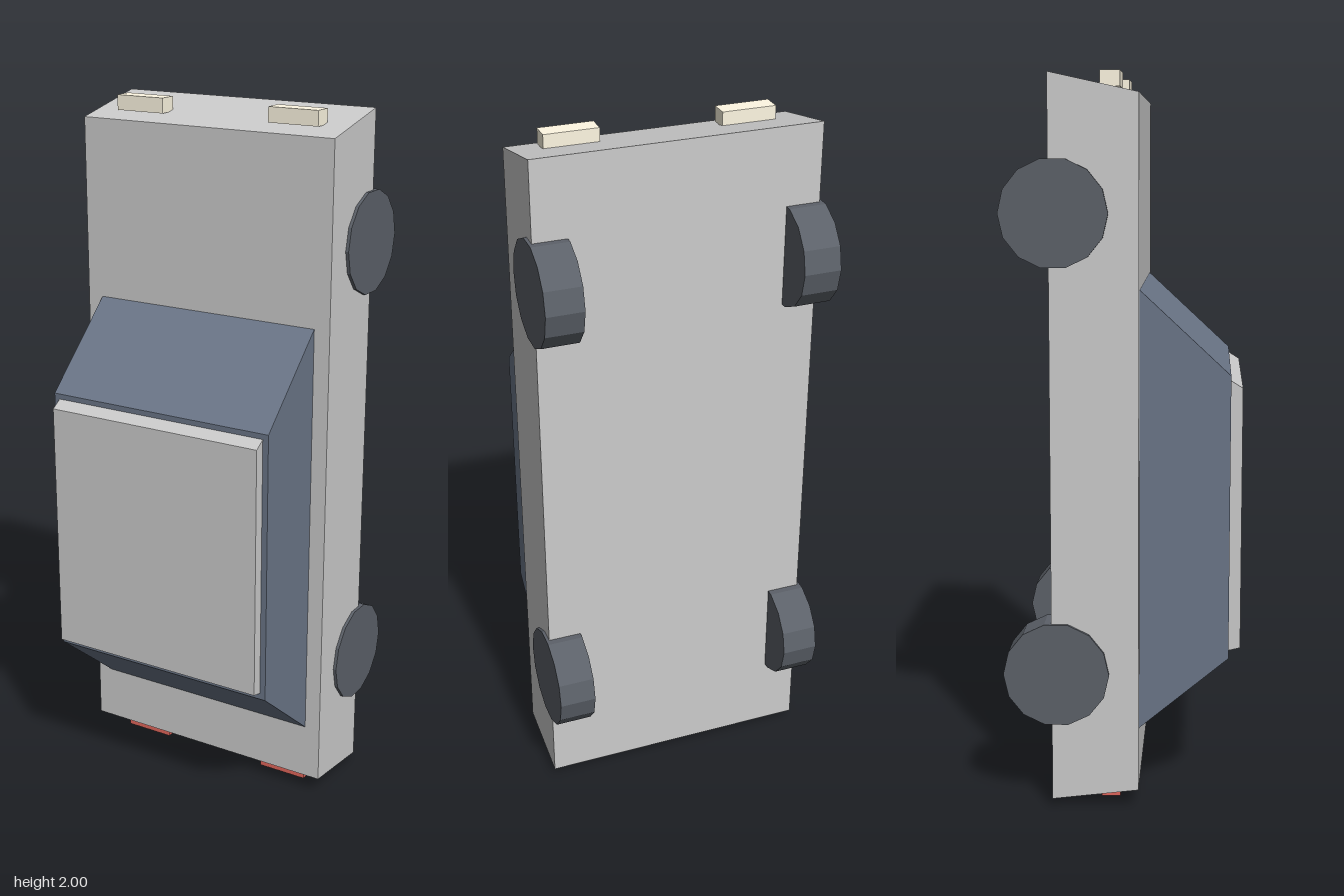
import * as THREE from 'three';

const mat = (color) => new THREE.MeshStandardMaterial({ color, flatShading: true });

// Extrude a side profile of [z, y] points across the width, centred on x = 0
function slab(name, points, halfWidth, material) {
  const shape = new THREE.Shape(points.map(([z, y]) => new THREE.Vector2(z, y)));
  const geo = new THREE.ExtrudeGeometry(shape, { depth: halfWidth * 2, bevelEnabled: false });
  geo.translate(0, 0, -halfWidth);
  geo.rotateY(-Math.PI / 2);
  const mesh = new THREE.Mesh(geo, material);
  mesh.name = name;
  return mesh;
}

export function createModel() {
  const car = new THREE.Group();
  car.name = 'car';
  const paint = mat(0xcccccc);
  const glass = mat(0x6b7688);
  const rubber = mat(0x5c6169);
  const cream = mat(0xfff8e3);
  const red = mat(0xe0665c);

  // Body, cabin and roof, standing on the tail
  car.add(
    slab('body', [[-0.193, 0.02], [0.045, 0.05], [0.045, 1.94], [-0.193, 1.992]], 0.394, paint),
    slab('cabin', [[0.045, 0.213], [0.29, 0.417], [0.29, 1.2], [0.045, 1.428]], 0.347, glass),
    slab('roof', [[0.29, 0.435], [0.322, 0.443], [0.322, 1.165], [0.29, 1.185]], 0.33, paint)
  );

  const wheelGeo = new THREE.CylinderGeometry(0.145, 0.145, 0.104, 14);
  wheelGeo.rotateZ(Math.PI / 2);
  const lightGeo = new THREE.BoxGeometry(0.15, 0.042, 0.053);

  const add = (name, geo, material, x, y, z) => {
    const mesh = new THREE.Mesh(geo, material);
    mesh.name = name;
    mesh.position.set(x, y, z);
    car.add(mesh);
  };

  for (const [side, s] of [['left', 1], ['right', -1]]) {
    // Wheels
    add(`${side}FrontWheel`, wheelGeo, rubber, s * 0.351, 1.63, -0.18);
    add(`${side}RearWheel`, wheelGeo, rubber, s * 0.351, 0.38, -0.18);
    // Lamps
    add(`${side}Headlight`, lightGeo, cream, s * 0.242, 1.979, -0.035);
    add(`${side}TailLight`, lightGeo, red, s * 0.242, 0.021, -0.035);
  }
  return car;
}
